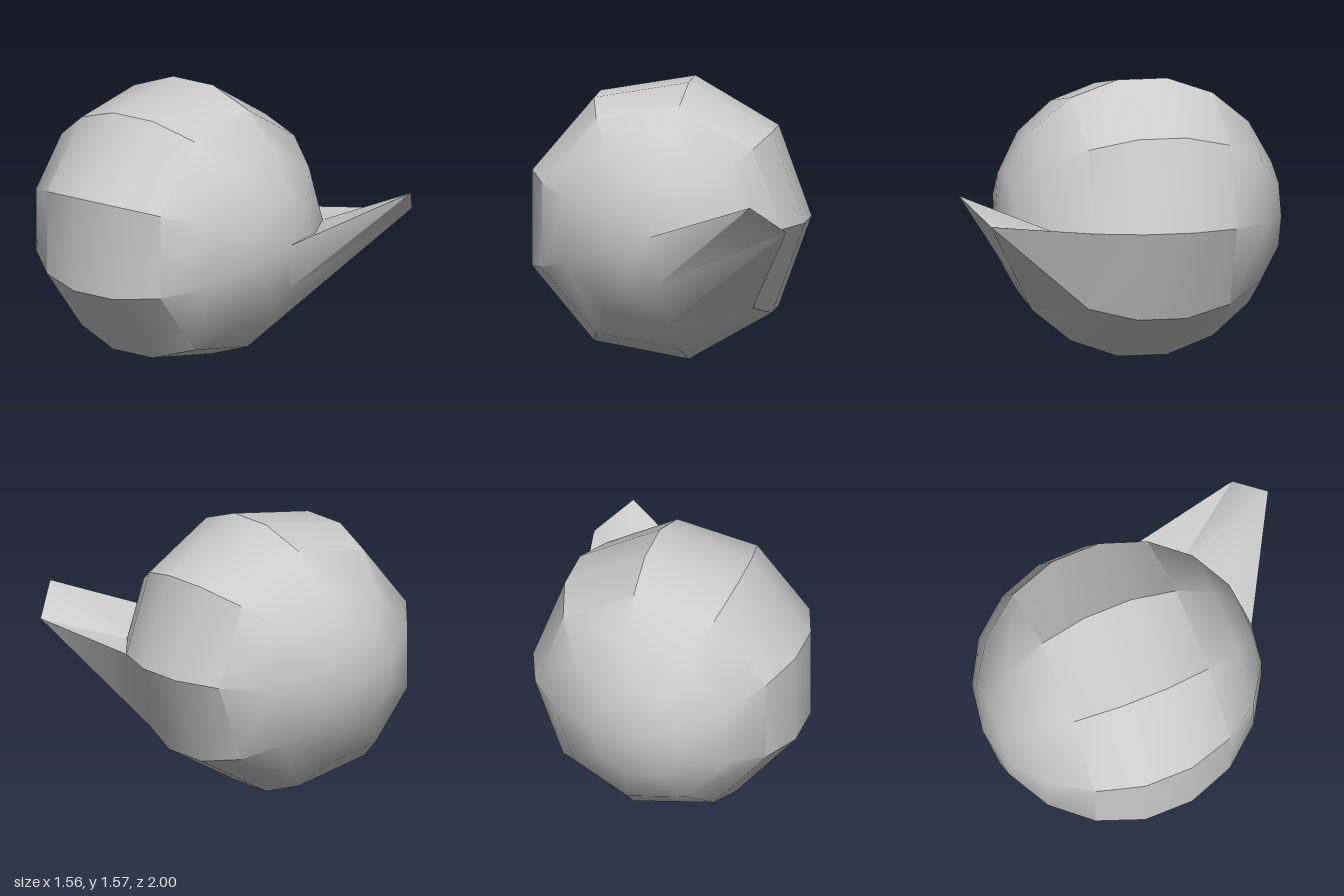
import * as THREE from 'three';
import { toCreasedNormals } from 'three/addons/utils/BufferGeometryUtils.js';

const SIDES = 9;
const RINGS = 9;

export function createModel() {
  const model = new THREE.Group();
  model.name = 'ballWithSpout';

  // Low-poly ball with its poles on the z axis; ring 0 is the front pole.
  const ball = new THREE.SphereGeometry(1, SIDES, RINGS, Math.PI);
  ball.rotateX(Math.PI / 2);
  ball.scale(0.808, 0.808, 0.818);
  ball.translate(-0.028, 0.797, -0.182);

  // Spout: two neighbouring points of one meridian are pulled outwards together.
  const position = ball.attributes.position;
  const meridian = SIDES - 1;
  const pull = 0.411;
  for (const ring of [1, 2]) {
    const i = ring * (SIDES + 1) + meridian;
    position.setXYZ(i, position.getX(i) + pull, position.getY(i) + pull, position.getZ(i) + pull);
  }

  // Smooth near the poles, creased along the middle of the meridians.
  const geometry = toCreasedNormals(ball, THREE.MathUtils.degToRad(35));
  const body = new THREE.Mesh(geometry, new THREE.MeshStandardMaterial({ color: 0xcccccc }));
  body.name = 'spoutedBall';
  model.add(body);
  return model;
}
